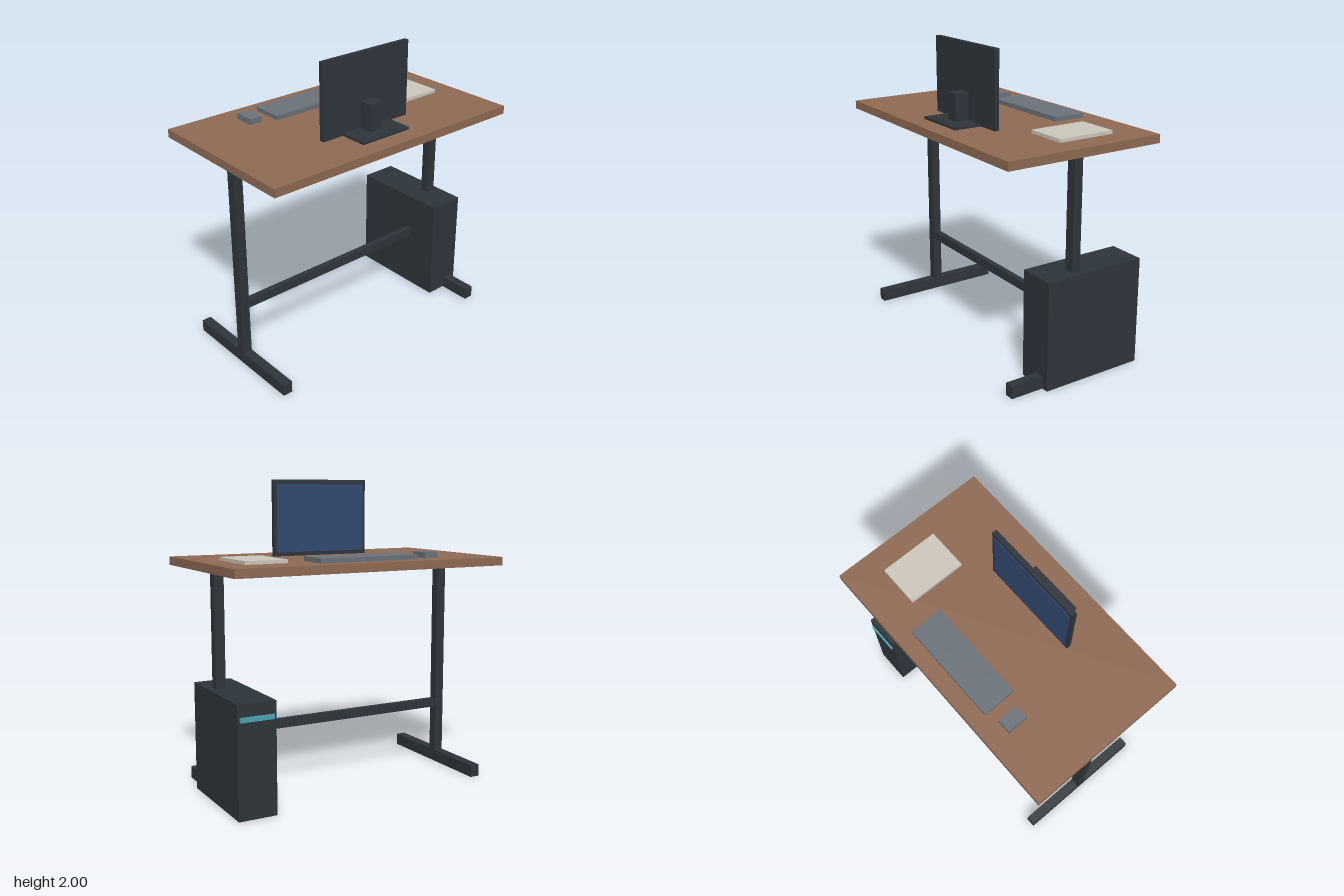
import * as THREE from 'three';

const flat = (name, color) => {
  const m = new THREE.MeshStandardMaterial({ color });
  m.name = name;
  return m;
};

export function createModel() {
  const wood = flat('wood', 0x8f6a53);
  const darkMetal = flat('dark metal', 0x2e353b);
  const grey = flat('grey plastic', 0x6b727a);
  const paper = flat('paper', 0xcdc7bd);
  const screenBlue = flat('screen blue', 0x304870);
  const teal = flat('teal light', 0x4aa3af);

  const model = new THREE.Group();
  model.name = 'computerDesk';

  // Box from its extents along each axis
  const box = (parent, name, material, [x0, x1], [y0, y1], [z0, z1]) => {
    const mesh = new THREE.Mesh(new THREE.BoxGeometry(x1 - x0, y1 - y0, z1 - z0), material);
    mesh.position.set((x0 + x1) / 2, (y0 + y1) / 2, (z0 + z1) / 2);
    mesh.name = name;
    parent.add(mesh);
  };
  const group = (name) => {
    const g = new THREE.Group();
    g.name = name;
    model.add(g);
    return g;
  };

  // Desk: top, two T-shaped legs and a crossbar
  const desk = group('desk');
  const top = 1.5;
  box(desk, 'deskTop', wood, [-0.945, 0.945], [1.445, top], [-0.55, 0.55]);
  for (const [side, s] of [['left', 1], ['right', -1]]) {
    const x = s * 0.8325;
    box(desk, side + 'Leg', darkMetal, [x - 0.0325, x + 0.0325], [0.08, 1.445], [-0.03, 0.03]);
    box(desk, side + 'Foot', darkMetal, [x - 0.0325, x + 0.0325], [0, 0.08], [-0.46, 0.46]);
  }
  box(desk, 'crossbar', darkMetal, [-0.8, 0.8], [0.4, 0.46], [-0.02, 0.02]);

  // Computer tower with a light strip on its -z face
  const tower = group('computerTower');
  box(tower, 'towerCase', darkMetal, [0.66, 0.91], [0, 0.71], [-0.47, 0.235]);
  box(tower, 'lightStrip', teal, [0.675, 0.895], [0.6, 0.63], [-0.482, -0.469]);

  // Monitor, its screen facing -z
  const monitor = group('monitor');
  box(monitor, 'monitorCase', darkMetal, [-0.345, 0.345], [top, 2], [0.205, 0.237]);
  box(monitor, 'screen', screenBlue, [-0.325, 0.325], [1.525, 1.97], [0.2, 0.206]);
  box(monitor, 'standNeck', darkMetal, [-0.046, 0.046], [1.51, 1.69], [0.236, 0.33]);
  box(monitor, 'standBase', darkMetal, [-0.19, 0.19], [top, 1.515], [0.22, 0.425]);

  // Things lying on the desk
  box(model, 'keyboard', grey, [-0.345, 0.345], [top, 1.53], [-0.445, -0.223]);
  box(model, 'mouse', grey, [-0.52, -0.428], [top, 1.538], [-0.41, -0.27]);
  box(model, 'notepad', paper, [0.5, 0.782], [top, 1.522], [-0.317, 0.077]);

  return model;
}
